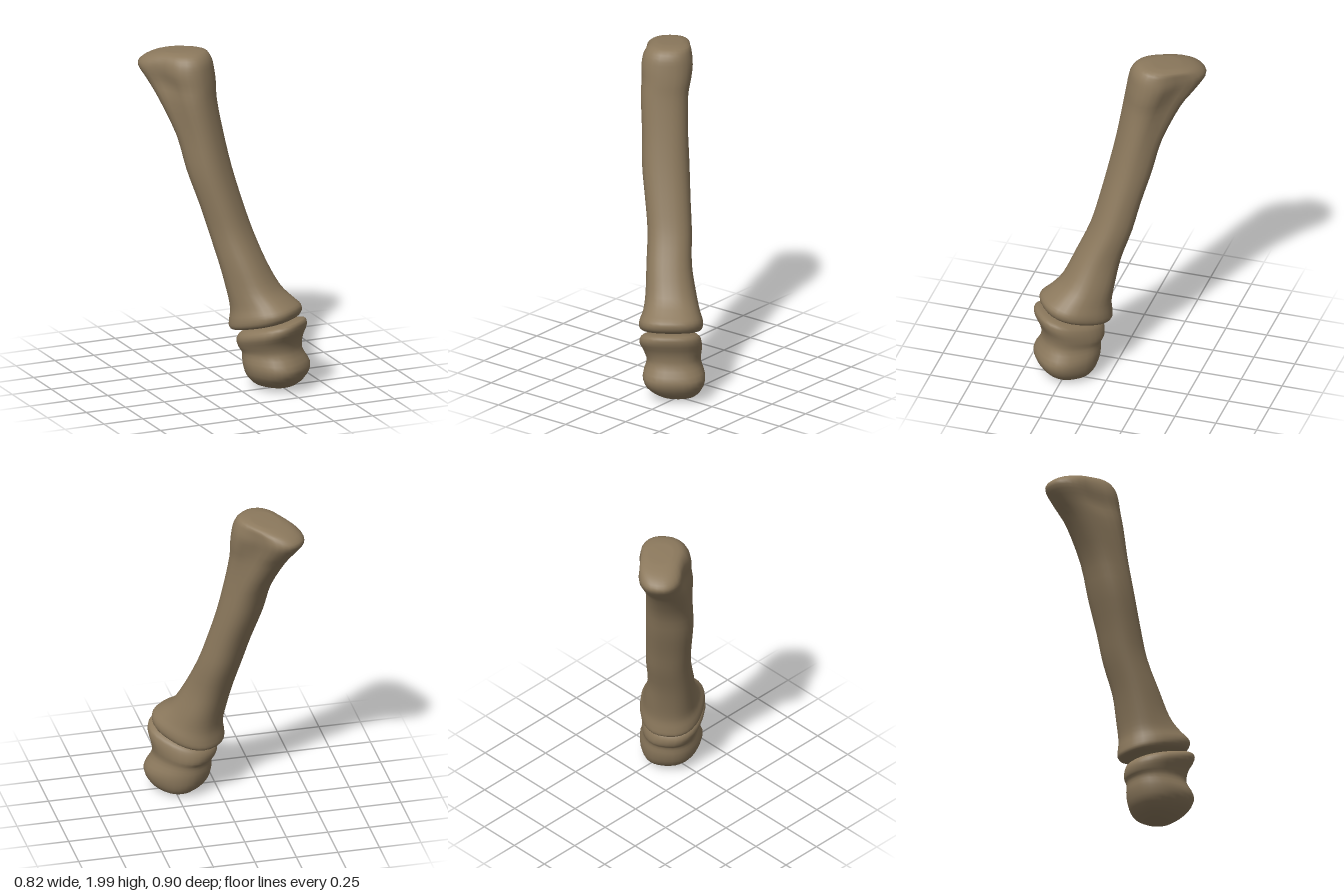
import * as THREE from 'three';

const SIDES = 28, STEPS = 3;

// Catmull-Rom blend of neighbouring section parameters
function blend(rings, i, t) {
  const at = k => rings[Math.min(Math.max(k, 0), rings.length - 1)];
  const [p, q, r, s] = [at(i - 1), at(i), at(i + 1), at(i + 2)];
  return q.map((b, k) => b + 0.5 * t * (r[k] - p[k] + t * (2 * p[k] - 5 * b + 4 * r[k] - s[k] +
    t * (3 * (b - r[k]) + s[k] - p[k]))));
}

// Section: [y, centre x, centre z, half depth, half width, tilt, waist pinch, front taper]
// Depth runs diagonally along (0.6, 0.8) in x and z, width along (0.8, -0.6).
function loft(name, rings, material) {
  const sections = [];
  for (let i = 0; i < rings.length - 1; i++)
    for (let k = 0; k < STEPS; k++) sections.push(blend(rings, i, k / STEPS));
  sections.push(rings[rings.length - 1]);

  const pos = [], idx = [];
  const soft = c => Math.sign(c) * Math.abs(c) ** 0.84;
  for (const [y, cx, cz, a, b, tilt, pinch, taper] of sections) {
    for (let j = 0; j < SIDES; j++) {
      const t = j / SIDES * Math.PI * 2, f = soft(Math.cos(t));
      const u = a * f;
      const v = b * soft(Math.sin(t)) * (1 + taper * f) * (1 - pinch * Math.exp(-(((f + 0.1) / 0.38) ** 2)));
      pos.push(cx + 0.6 * u + 0.8 * v, y + tilt * u, cz + 0.8 * u - 0.6 * v);
    }
  }
  for (let i = 0; i < sections.length - 1; i++)
    for (let j = 0; j < SIDES; j++) {
      const n = (j + 1) % SIDES, a = i * SIDES + j, b = i * SIDES + n;
      idx.push(a, b, a + SIDES, b, b + SIDES, a + SIDES);
    }
  // End caps
  const last = (sections.length - 1) * SIDES, c = pos.length / 3;
  for (const s of [sections[0], sections[sections.length - 1]]) pos.push(s[1], s[0], s[2]);
  for (let j = 0; j < SIDES; j++) {
    const n = (j + 1) % SIDES;
    idx.push(c, n, j, c + 1, last + j, last + n);
  }
  const geo = new THREE.BufferGeometry();
  geo.setAttribute('position', new THREE.Float32BufferAttribute(pos, 3));
  geo.setIndex(idx);
  geo.computeVertexNormals();
  const mesh = new THREE.Mesh(geo, material);
  mesh.name = name;
  return mesh;
}

export function createModel() {
  const group = new THREE.Group();
  group.name = 'legBone';
  const bone = new THREE.MeshStandardMaterial({ color: 0x8c795d });
  bone.name = 'bone';

  // Long shaft with a flared lower rim and a grooved, backward-reaching head
  group.add(loft('longBone', [
    [0.39, 0.165, 0.205, 0.08, 0.07, 0.25, 0, 0],
    [0.39, 0.165, 0.205, 0.175, 0.155, 0.25, 0, 0.05],
    [0.412, 0.163, 0.208, 0.208, 0.183, 0.25, 0, 0.08],
    [0.455, 0.163, 0.208, 0.208, 0.185, 0.25, 0, 0.08],
    [0.51, 0.15, 0.188, 0.18, 0.165, 0.2, 0, 0.05],
    [0.6, 0.115, 0.15, 0.15, 0.148, 0.1, 0, 0],
    [0.75, 0.067, 0.105, 0.13, 0.133, 0.05, 0, 0],
    [0.93, 0.02, 0.04, 0.12, 0.13, 0, 0, 0],
    [1.1, -0.025, 0, 0.116, 0.133, 0, 0, 0],
    [1.3, -0.078, -0.047, 0.122, 0.139, 0, 0, 0],
    [1.5, -0.118, -0.092, 0.13, 0.137, 0, 0.03, 0.05],
    [1.7, -0.17, -0.155, 0.17, 0.143, 0, 0.12, 0.13],
    [1.8, -0.19, -0.2, 0.205, 0.15, 0, 0.22, 0.15],
    [1.88, -0.21, -0.232, 0.23, 0.157, 0, 0.2, 0.13],
    [1.935, -0.208, -0.236, 0.215, 0.145, 0.06, 0.13, 0.1],
    [1.973, -0.195, -0.235, 0.165, 0.118, 0.1, 0.04, 0.08],
    [1.988, -0.19, -0.232, 0.08, 0.07, 0.1, 0, 0],
  ], bone));

  // Ankle bone: upper lip, hollow front and rounded lower roller
  group.add(loft('ankleBone', [
    [0.002, 0.235, 0.222, 0.05, 0.045, 0, 0, 0],
    [0.025, 0.23, 0.232, 0.12, 0.115, 0, 0, 0],
    [0.08, 0.22, 0.244, 0.172, 0.165, 0, 0, 0.1],
    [0.15, 0.215, 0.247, 0.193, 0.18, 0, 0, 0.13],
    [0.225, 0.2, 0.23, 0.173, 0.158, 0.08, 0, 0.05],
    [0.28, 0.19, 0.226, 0.185, 0.169, 0.2, 0, 0.08],
    [0.34, 0.187, 0.243, 0.203, 0.18, 0.25, 0, 0.12],
    [0.384, 0.192, 0.25, 0.183, 0.158, 0.28, 0, 0.1],
    [0.4, 0.195, 0.25, 0.09, 0.075, 0.28, 0, 0],
  ], bone));

  return group;
}
